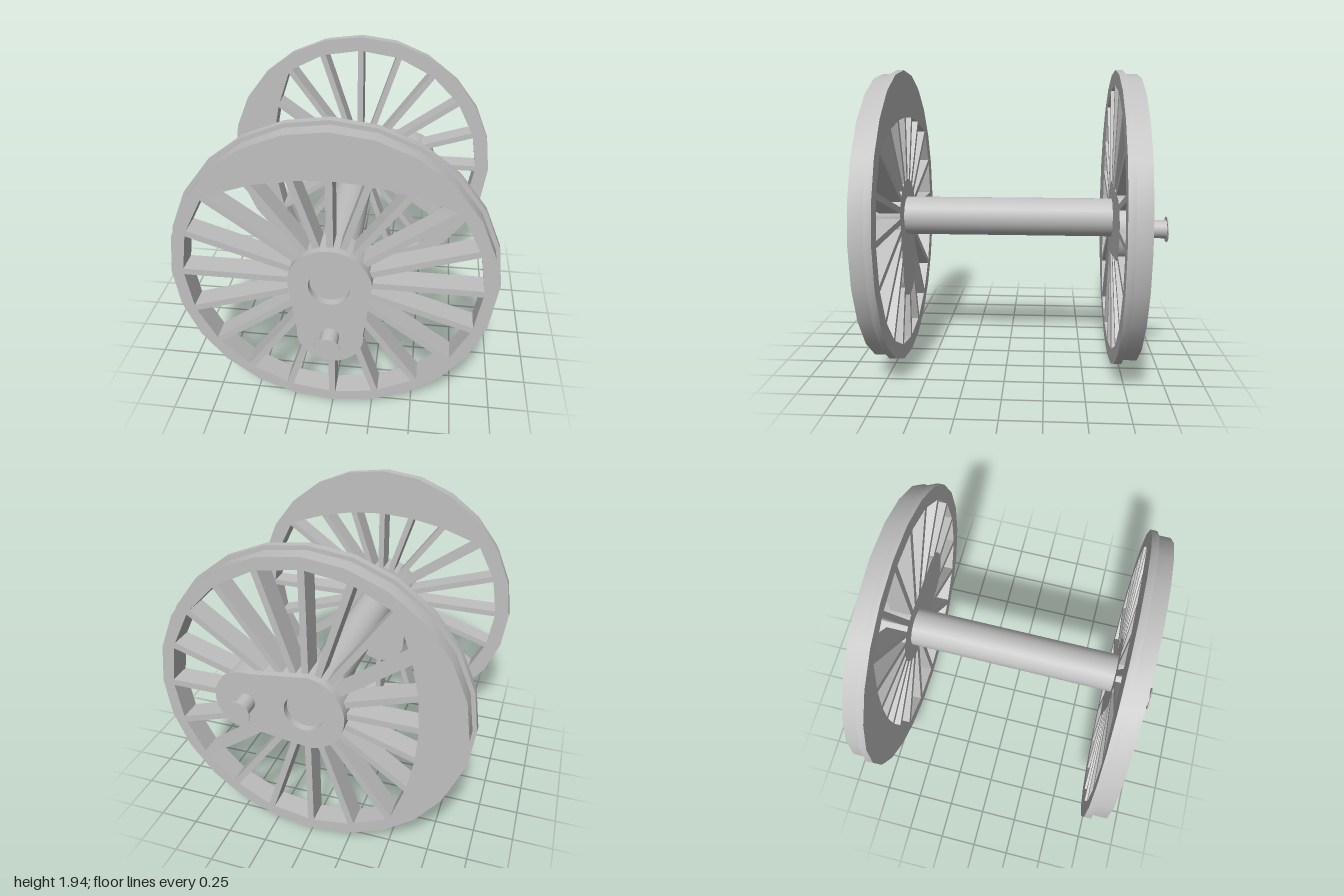
import * as THREE from 'three';
import { toCreasedNormals } from 'three/addons/utils/BufferGeometryUtils.js';

const AXLE_Y = 0.973, INNER = 0.69, FACE = 0.83, HUB_FACE = 0.875, THROW = 0.36;
const SPOKES = 20, HALF_SPOKE = 0.02, RIM_INNER = 0.87;

const steel = new THREE.MeshStandardMaterial({ color: 0xc0c0c0 });
steel.name = 'steel';

function mesh(name, geometry) {
  const m = new THREE.Mesh(geometry, steel);
  m.name = name;
  return m;
}

// Straight extrusion from z0 to z1, smooth around curves and sharp at corners
function plate(name, shape, z0, z1) {
  const g = new THREE.ExtrudeGeometry(shape, { depth: z1 - z0, bevelEnabled: false, curveSegments: 16 });
  g.translate(0, 0, z0);
  return mesh(name, toCreasedNormals(g, 0.5));
}

function rod(name, radius, z0, z1, y = 0) {
  const g = new THREE.CylinderGeometry(radius, radius, z1 - z0, 24);
  g.rotateX(Math.PI / 2);
  g.translate(0, y, (z0 + z1) / 2);
  return mesh(name, g);
}

function polygon(radius, sides = 24) {
  return Array.from({ length: sides }, (_, i) => {
    const a = (i / sides) * Math.PI * 2;
    return new THREE.Vector2(Math.cos(a) * radius, Math.sin(a) * radius);
  });
}

// Opening corner along a spoke edge, cut short by the curved counterweight at the top
function openingCorner(angle, side) {
  const point = (r) => new THREE.Vector2(
    r * Math.cos(angle) - side * HALF_SPOKE * Math.sin(angle),
    r * Math.sin(angle) + side * HALF_SPOKE * Math.cos(angle));
  let r = RIM_INNER;
  for (let p = point(r); p.y > 0.665 - 0.3 * p.x * p.x; p = point(r)) r -= 0.002;
  return point(r);
}

function wheelShape() {
  const shape = new THREE.Shape(polygon(0.945));
  const step = (Math.PI * 2) / SPOKES;
  const apex = HALF_SPOKE / Math.sin(step / 2);
  for (let i = 0; i < SPOKES; i++) {
    const a = i * step, mid = a + step / 2;
    shape.holes.push(new THREE.Path([
      new THREE.Vector2(Math.cos(mid) * apex, Math.sin(mid) * apex),
      openingCorner(a + step, -1),
      openingCorner(a, 1),
    ]));
  }
  return shape;
}

// Tapered hub: two circles joined by tangent lines, bored for the axle
function hubShape() {
  const big = 0.247, small = 0.2;
  const t = Math.asin((big - small) / THROW);
  const s = new THREE.Shape();
  s.absarc(0, 0, big, t, Math.PI - t, false);
  s.absarc(0, -THROW, small, Math.PI - t, Math.PI * 2 + t, false);
  s.closePath();
  s.holes.push(new THREE.Path().absarc(0, 0, 0.122, 0, Math.PI * 2, true));
  return s;
}

function makeWheel(name) {
  const wheel = new THREE.Group();
  wheel.name = name;
  const flange = new THREE.Shape(polygon(0.97));
  flange.holes.push(new THREE.Path(polygon(0.93)));
  wheel.add(
    plate('spokedWheel', wheelShape(), INNER, FACE),
    plate('flange', flange, INNER, 0.735),
    plate('crankHub', hubShape(), INNER, HUB_FACE),
    rod('crankPin', 0.056, HUB_FACE - 0.02, 0.997, -THROW),
    rod('pinCap', 0.078, 0.993, 1, -THROW),
  );
  wheel.position.y = AXLE_Y;
  return wheel;
}

export function createModel() {
  const model = new THREE.Group();
  model.name = 'wheelset';

  const front = makeWheel('frontWheel');
  // The second wheel faces the other way with its crank a quarter turn on
  const rear = makeWheel('rearWheel');
  rear.rotation.set(0, Math.PI, -Math.PI / 2);

  const axle = rod('axle', 0.128, -FACE, FACE);
  axle.position.y = AXLE_Y;

  model.add(front, rear, axle);
  return model;
}
